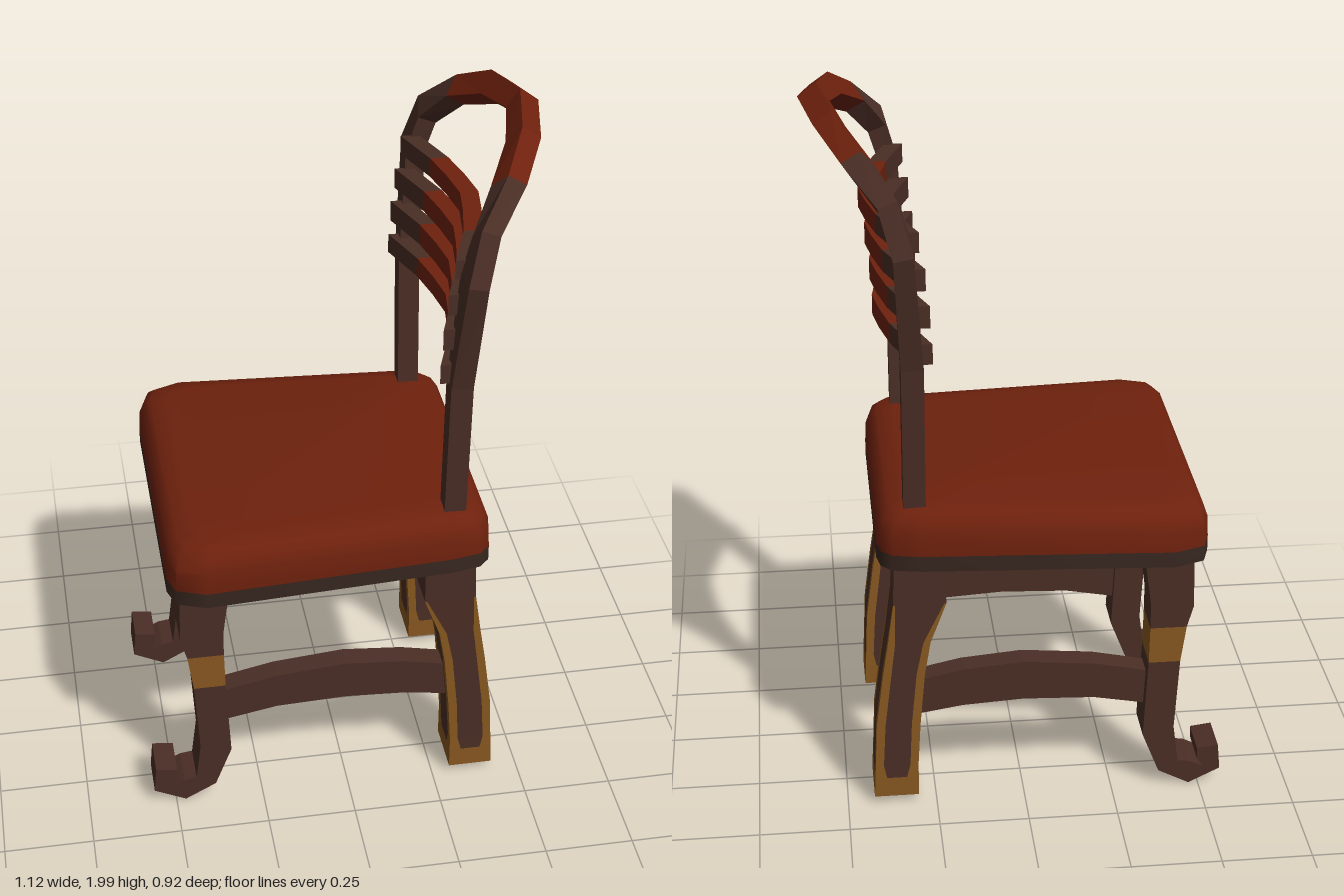
import * as THREE from 'three';
import { toCreasedNormals } from 'three/addons/utils/BufferGeometryUtils.js';

const mat = (name, color) => {
  const m = new THREE.MeshStandardMaterial({ color });
  m.name = name;
  return m;
};

// Skins a list of closed rings, with capped ends; pick(i, j) chooses the material of each face
function loft(rings, pick, capStart, capEnd, count, crease = 0) {
  const buckets = Array.from({ length: count }, () => []);
  const n = rings[0].length, last = rings.length - 1;
  const tri = (k, a, b, c) => buckets[k].push([a, b, c]);
  for (let i = 0; i < last; i++) {
    for (let j = 0; j < n; j++) {
      const a = rings[i][j], b = rings[i][(j + 1) % n];
      const c = rings[i + 1][(j + 1) % n], d = rings[i + 1][j];
      tri(pick(i, j), a, b, c);
      tri(pick(i, j), a, c, d);
    }
  }
  for (let j = 1; j < n - 1; j++) {
    tri(capStart, rings[0][0], rings[0][j + 1], rings[0][j]);
    tri(capEnd, rings[last][0], rings[last][j], rings[last][j + 1]);
  }
  // Turn the faces outward whichever way the rings run
  let volume = 0;
  const v = (p) => new THREE.Vector3(...p);
  for (const [a, b, c] of buckets.flat()) volume += v(a).dot(v(b).cross(v(c)));
  const pos = [];
  let geo = new THREE.BufferGeometry();
  buckets.forEach((tris, k) => {
    const start = pos.length / 3;
    for (const [a, b, c] of tris) pos.push(...a, ...(volume > 0 ? b : c), ...(volume > 0 ? c : b));
    geo.addGroup(start, tris.length * 3, k);
  });
  geo.setAttribute('position', new THREE.Float32BufferAttribute(pos, 3));
  if (crease) geo = toCreasedNormals(geo, crease);
  else geo.computeVertexNormals();
  return geo;
}

// Side outline given thickness along z, centred on z
function slab(points, z, depth) {
  const shape = new THREE.Shape(points.map(([x, y]) => new THREE.Vector2(x, y)));
  const geo = new THREE.ExtrudeGeometry(shape, { depth, bevelEnabled: false });
  return geo.translate(0, 0, z - depth / 2);
}

export function createModel() {
  const group = new THREE.Group();
  group.name = 'chair';
  const brown = mat('brown wood', 0x4a2e25);
  const red = mat('red lacquer', 0x6e210d);
  const gold = mat('worn gold', 0x885820);
  const dark = mat('dark seat edge', 0x37261f);
  const add = (name, geo, material) => {
    const m = new THREE.Mesh(geo, material);
    m.name = name;
    group.add(m);
  };

  // Seat: tapered outline, padded top edge
  const half = [[-0.5, 0.37], [-0.48, 0.43], [-0.4, 0.46], [0.28, 0.415], [0.36, 0.4], [0.39, 0.37], [0.4, 0.32]];
  const outline = [...half, ...half.map(([x, z]) => [x, -z]).reverse()];
  const layers = [[0.765, 0], [0.81, 0], [0.87, 0.003], [0.905, 0.015], [0.925, 0.035], [0.935, 0.08]];
  const seatRings = layers.map(([y, inset]) => outline.map(([x, z]) =>
    [-0.05 + (x + 0.05) * (1 - inset / 0.45), y, z * (1 - inset / 0.45)]));
  add('seat', loft(seatRings, (i) => (i === 0 ? 1 : 0), 1, 0, 2, 0.9), [red, dark]);

  // Back frame: outer front corner, inner front corner, offset to the back corners
  const stations = [
    [[0.265, 0.9, 0.355], [0.265, 0.9, 0.3], 0.06, 0],
    [[0.265, 1.34, 0.385], [0.265, 1.34, 0.325], 0.06, 0],
    [[0.288, 1.67, 0.44], [0.285, 1.67, 0.355], 0.053, -0.01],
    [[0.325, 1.81, 0.4], [0.315, 1.77, 0.345], 0.05, -0.02],
    [[0.41, 1.91, 0.305], [0.375, 1.865, 0.27], 0.05, -0.03],
    [[0.475, 1.978, 0.175], [0.44, 1.925, 0.145], 0.05, -0.035],
    [[0.51, 2, 0], [0.475, 1.95, 0], 0.05, -0.035],
  ];
  const section = ([o, n, dx, dy], s) => [
    [o[0], o[1], s * o[2]], [o[0] + dx, o[1] + dy, s * o[2]],
    [n[0] + dx, n[1] + dy, s * n[2]], [n[0], n[1], s * n[2]],
  ];
  const frameRings = [
    ...stations.map((st) => section(st, 1)),
    ...stations.slice(0, -1).reverse().map((st) => section(st, -1)),
  ];
  add('backFrame', loft(frameRings, (i) => (i >= 4 && i <= 7 ? 1 : 0), 0, 0, 2), [brown, red]);

  // Curved back slats, red in the middle
  const slats = [[1.345, 1.402, -0.03], [1.447, 1.508, -0.025], [1.55, 1.61, -0.015], [1.655, 1.71, 0]];
  const bow = [[-0.36, 0.27], [-0.21, 0.323], [-0.1, 0.346], [0, 0.36], [0.1, 0.346], [0.21, 0.323], [0.36, 0.27]];
  for (const [y0, y1, shift] of slats) {
    const rings = bow.map(([z, x]) => {
      const f = x + shift, b = f + 0.05;
      return [[f, y0, z], [b, y0, z], [b, y1, z], [f, y1, z]];
    });
    add('backSlat', loft(rings, (i) => (i > 0 && i < 5 ? 1 : 0), 0, 0, 2), [brown, red]);
  }

  // Front leg outlines: upper leg, gold band, lower leg with curled foot
  const upper = [[-0.465, 0.78], [-0.47, 0.59], [-0.452, 0.525], [-0.35, 0.525], [-0.35, 0.6], [-0.325, 0.78]];
  const band = [[-0.452, 0.525], [-0.437, 0.415], [-0.348, 0.415], [-0.35, 0.525]];
  const lower = [[-0.437, 0.415], [-0.425, 0.2], [-0.44, 0.085], [-0.475, 0.08], [-0.515, 0.06], [-0.497, 0.085],
    [-0.495, 0.122], [-0.555, 0.13], [-0.562, 0.052], [-0.473, 0.008], [-0.385, 0.055], [-0.337, 0.178], [-0.348, 0.415]];
  // Stretcher outline: arched bar from front leg to back leg
  const stretcher = [[-0.36, 0.262], [-0.2, 0.292], [0, 0.3], [0.17, 0.29], [0.31, 0.268],
    [0.31, 0.375], [0.17, 0.405], [0, 0.42], [-0.2, 0.402], [-0.36, 0.368]];
  // Back leg: height, front x, back x, half width, gold share of each face edge
  const backLeg = [[0.78, 0.215, 0.355, 0.068, 0.04], [0.64, 0.215, 0.36, 0.07, 0.04], [0.52, 0.26, 0.377, 0.072, 0.17],
    [0.42, 0.277, 0.393, 0.073, 0.2], [0.26, 0.292, 0.414, 0.075, 0.2], [0.13, 0.3, 0.42, 0.077, 0.19],
    [0.09, 0.3, 0.422, 0.078, 0.27], [0.03, 0.3, 0.425, 0.078, 0.27]];

  for (const side of [1, -1]) {
    const z = side * 0.312;
    add('frontLegUpper', slab(upper, z, 0.116), brown);
    add('frontLegBand', slab(band, z, 0.116), gold);
    add('frontLegLower', slab(lower, z, 0.116), brown);
    add('stretcher', slab(stretcher, side * 0.305, 0.065), brown);

    // Each face of the back leg has an edge strip, a centre and an edge strip
    const rings = backLeg.map(([y, x0, x1, w, s]) => {
      const zc = side * 0.303;
      const corners = [[x0, zc - w], [x1, zc - w], [x1, zc + w], [x0, zc + w]];
      return corners.flatMap((a, k) => {
        const b = corners[(k + 1) % 4];
        return [0, s, 1 - s].map((t) => [a[0] + (b[0] - a[0]) * t, y, a[1] + (b[1] - a[1]) * t]);
      });
    });
    const paint = (i, j) => (i === 6 || (i > 0 && j % 3 !== 1) ? 1 : 0);
    add('backLeg', loft(rings, paint, 0, 1, 2), [brown, gold]);
  }
  return group;
}
